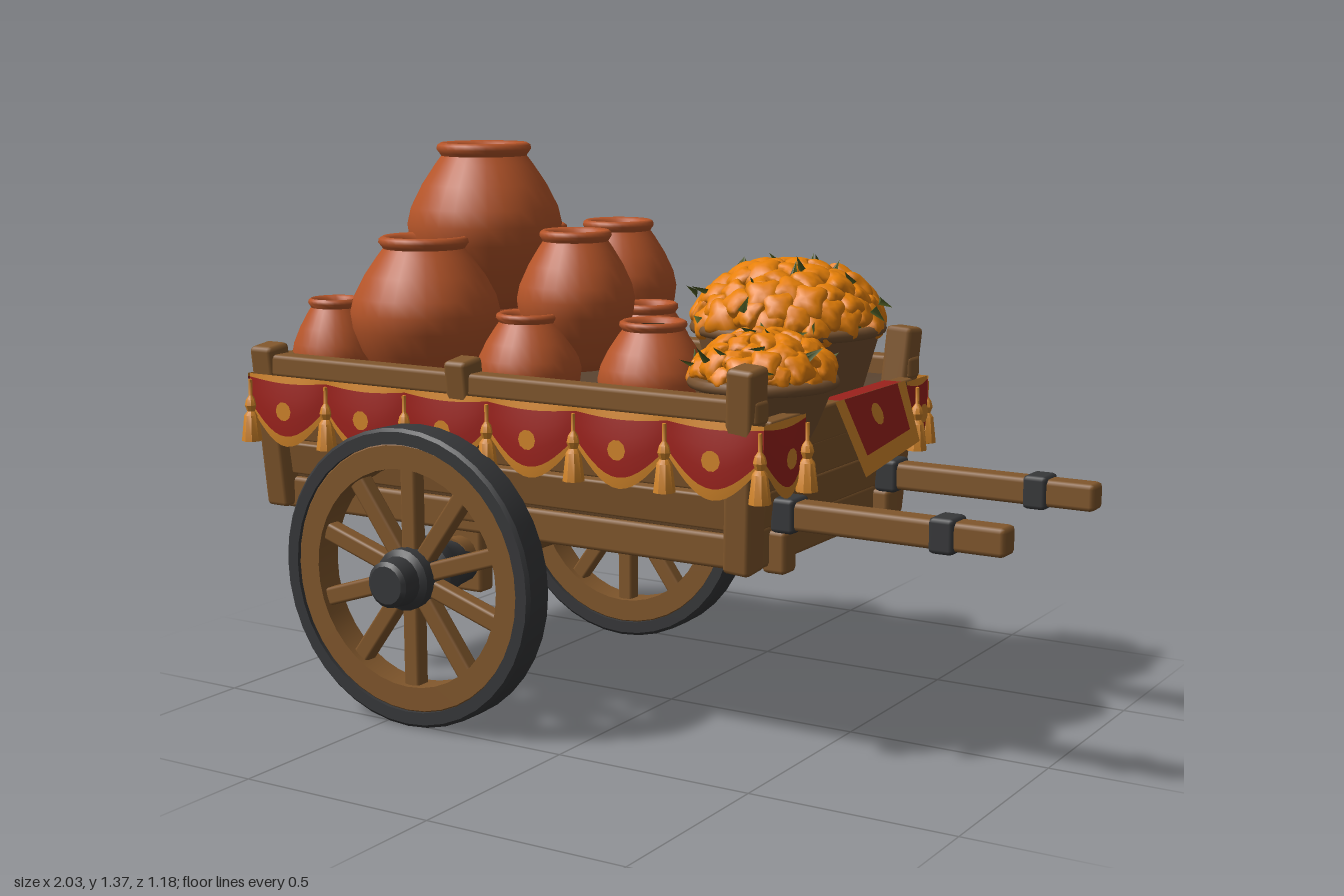
import * as THREE from 'three';
import { mergeGeometries, toCreasedNormals } from 'three/addons/utils/BufferGeometryUtils.js';
import { RoundedBoxGeometry } from 'three/addons/geometries/RoundedBoxGeometry.js';

const paint = (name, color, side = THREE.FrontSide) => {
  const m = new THREE.MeshStandardMaterial({ color, side });
  m.name = name;
  return m;
};
const V2 = (a) => a.map(([x, y]) => new THREE.Vector2(x, y));

export function createModel() {
  const wood = paint('wood', 0x81572c), darkWood = paint('dark wood', 0x5c3f22);
  const iron = paint('iron', 0x37383a), clay = paint('terracotta', 0xb65529);
  const clayDark = paint('pot inside', 0x664529), wicker = paint('wicker', 0x775230);
  const red = paint('red cloth', 0x9c221c, THREE.DoubleSide);
  const gold = paint('gold trim', 0xd2852a, THREE.DoubleSide);
  const marigold = paint('marigold', 0xec8308), leaf = paint('leaf', 0x4d5a22, THREE.DoubleSide);

  const root = new THREE.Group();
  root.name = 'potteryCart';
  const add = (parent, name, geo, mat, x = 0, y = 0, z = 0) => {
    const m = new THREE.Mesh(geo, mat);
    m.name = name;
    m.position.set(x, y, z);
    parent.add(m);
    return m;
  };
  const group = (name, x = 0, y = 0, z = 0, parent = root) => {
    const g = new THREE.Group();
    g.name = name;
    g.position.set(x, y, z);
    parent.add(g);
    return g;
  };
  const box = (name, mat, w, h, d, x, y, z, parent = root) =>
    add(parent, name, new RoundedBoxGeometry(w, h, d, 1, Math.min(w, h, d) * 0.18), mat, x, y, z);
  // Upright timber running between two points
  const post = (name, a, b, w, d) => {
    const p = new THREE.Vector3(...a), q = new THREE.Vector3(...b);
    const m = box(name, wood, w, p.distanceTo(q), d, 0, 0, 0);
    m.position.copy(p).lerp(q, 0.5);
    m.quaternion.setFromUnitVectors(new THREE.Vector3(0, 1, 0), q.sub(p).normalize());
  };
  const lathe = (pts, seg, crease = 0.6) => toCreasedNormals(new THREE.LatheGeometry(V2(pts), seg), crease);

  // Bed: floor planks, end beams and end boards
  for (let i = 0; i < 5; i++) box('floorPlank', darkWood, 1.36, 0.035, 0.136, -0.26, 0.555, (i - 2) * 0.136);
  box('floorSheet', iron, 0.42, 0.012, 0.62, 0.19, 0.615, 0);
  for (const x of [-0.93, 0.4]) box('crossBeam', wood, 0.07, 0.1, 0.66, x, 0.515, 0);
  [0.605, 0.69, 0.77].forEach((y, i) => {
    box('tailBoard', wood, 0.035, 0.086, 0.68 + i * 0.025, -0.935, y, 0);
    box('frontBoard', wood, 0.035, 0.088, 0.68 + i * 0.025, 0.43 + i * 0.012, y, 0).rotation.z = -0.14;
  });
  box('tailRail', wood, 0.05, 0.05, 0.76, -0.94, 0.83, 0);

  // Splayed sides, posts, shafts and axle brackets
  for (const s of [1, -1]) {
    box('sideBeam', wood, 1.4, 0.08, 0.06, -0.27, 0.502, s * 0.325);
    box('sideLining', darkWood, 1.36, 0.28, 0.015, -0.255, 0.68, s * 0.347).rotation.x = s * 0.15;
    [[0.595, 0.348], [0.685, 0.361], [0.77, 0.374]].forEach(([y, z]) => {
      box('sideBoard', wood, 1.36, 0.084, 0.035, -0.255, y, s * z).rotation.x = s * 0.15;
    });
    box('topRail', wood, 1.42, 0.055, 0.06, -0.24, 0.835, s * 0.39);
    post('rearPost', [-0.94, 0.47, s * 0.345], [-0.94, 0.885, s * 0.395], 0.07, 0.075);
    post('middlePost', [-0.335, 0.5, s * 0.35], [-0.335, 0.895, s * 0.4], 0.065, 0.075);
    post('frontPost', [0.405, 0.465, s * 0.36], [0.435, 0.935, s * 0.4], 0.07, 0.08);
    box('shaft', wood, 0.8, 0.065, 0.065, 0.6, 0.588, s * 0.265);
    for (const x of [0.47, 0.855]) box('shaftBand', iron, 0.06, 0.08, 0.08, x, 0.588, s * 0.265);
    box('shaftBracket', wood, 0.06, 0.1, 0.06, 0.445, 0.5, s * 0.265);
    box('axleBracket', wood, 0.12, 0.24, 0.055, -0.43, 0.415, s * 0.265);
  }

  // Axle and wheels
  add(root, 'axle', new THREE.CylinderGeometry(0.05, 0.05, 0.66, 14), wood, -0.43, 0.385, 0).rotation.x = Math.PI / 2;
  const ring = (ro, ri, h, b) => lathe([[ro - b, -h], [ro, b - h], [ro, h - b], [ro - b, h], [ri, h], [ri, -h], [ro - b, -h]], 40);
  for (const s of [1, -1]) {
    const w = group('wheel', -0.43, 0.372, 0);
    w.rotation.x = s * Math.PI / 2;
    add(w, 'tyre', ring(0.364, 0.326, 0.043, 0.008), iron, 0, 0.478, 0);
    add(w, 'rim', ring(0.327, 0.266, 0.036, 0.004), wood, 0, 0.478, 0);
    for (let i = 0; i < 10; i++) {
      const a = Math.PI / 2 + i * Math.PI / 5;
      const m = box('spoke', wood, 0.23, 0.042, 0.044, Math.cos(a) * 0.18, 0.478, Math.sin(a) * 0.18, w);
      m.rotation.y = -a;
    }
    add(w, 'hub', lathe([[0.053, 0.285], [0.058, 0.34], [0.068, 0.385], [0.088, 0.42], [0.088, 0.45], [0.075, 0.46],
      [0.075, 0.525], [0.06, 0.535], [0.056, 0.58], [0.046, 0.588], [0, 0.588]], 18), iron);
  }

  // Cloth strip between two fractions of its drop, with a scalloped lower edge
  const strip = (w, drop, sag, v0, v1, bulge) => {
    const g = new THREE.PlaneGeometry(1, 1, 14, 3), p = g.attributes.position;
    for (let i = 0; i < p.count; i++) {
      const u = p.getX(i), v = v0 + (0.5 - p.getY(i)) * (v1 - v0), c = Math.cos(u * Math.PI);
      p.setXYZ(i, u * w, -v * (drop + sag * c), bulge * c * Math.sin(v * 2.4));
    }
    g.computeVertexNormals();
    return g;
  };
  const swag = (parent, w, x) => {
    const g = group('swag', x, 0, 0, parent);
    add(g, 'swagTopTrim', strip(w, 0.085, 0.09, 0, 0.1, 0.014), gold);
    add(g, 'swagCloth', strip(w, 0.085, 0.09, 0.1, 0.85, 0.014), red);
    add(g, 'swagHem', strip(w, 0.085, 0.09, 0.85, 1, 0.014), gold);
    add(g, 'swagMedallion', new THREE.CircleGeometry(0.024, 10), gold, 0, -0.085, 0.019);
  };
  const tasselGeo = lathe([[0, -0.16], [0.026, -0.155], [0.018, -0.09], [0.01, -0.08], [0.016, -0.065],
    [0.012, -0.05], [0.005, -0.04], [0.005, 0], [0, 0.002]], 9);
  const tassel = (parent, x) => add(parent, 'tassel', tasselGeo, gold, x, -0.015, 0.006);

  // Side garlands, then short corner garlands on both ends
  for (const s of [1, -1]) {
    const side = group('sideGarland', -0.245, 0.812, s * 0.424);
    if (s < 0) side.rotation.y = Math.PI;
    for (let i = 0; i < 6; i++) swag(side, 0.245, (i - 2.5) * 0.245);
    for (let i = 0; i < 7; i++) tassel(side, (i - 3) * 0.243);
    for (const [x, dir, w] of [[0.488, 1, s < 0 ? 0.12 : 0.2], [-0.985, -1, 0.22]]) {
      const end = group('endGarland', x, 0.812, s * (0.425 - w / 2));
      end.rotation.y = dir * Math.PI / 2;
      swag(end, w, 0);
      tassel(end, dir * s * w * 0.35).position.z = 0.02;
    }
  }

  // Front drape with gold border and medallion
  const drape = group('frontDrape', 0.485, 0.815, -0.1);
  drape.rotation.y = Math.PI / 2;
  const hang = group('drapePanel', 0, 0, 0, drape);
  hang.rotation.x = -0.38;
  const sheet = (pts) => new THREE.ShapeGeometry(new THREE.Shape(V2(pts)));
  add(hang, 'drapeBorder', sheet([[-0.15, -0.186], [0.17, -0.15], [0.2, 0], [-0.175, 0]]), gold);
  for (const k of [1, -1])
    add(hang, 'drapeCloth', sheet([[-0.115, -0.14], [0.135, -0.115], [0.15, 0], [-0.135, 0]]), red, 0, 0, k * 0.003);
  add(hang, 'drapeMedallion', new THREE.CircleGeometry(0.027, 12), gold, -0.005, -0.055, 0.006);
  add(drape, 'drapeFold', new THREE.PlaneGeometry(0.33, 0.045), red, 0.01, 0.001, -0.022).rotation.x = -Math.PI / 2;

  // Pots: x, z, base, top, radius
  const pots = [
    [-0.86, -0.25, 0.7, 0.99, 0.112], [-0.86, 0, 0.7, 0.98, 0.105], [-0.86, 0.23, 0.7, 0.99, 0.112],
    [-0.58, -0.22, 0.79, 1.16, 0.175], [-0.58, 0.22, 0.78, 1.16, 0.185], [-0.555, 0, 0.965, 1.38, 0.196],
    [-0.3, -0.23, 0.84, 1.18, 0.15], [-0.225, 0.08, 0.84, 1.18, 0.145], [-0.13, -0.1, 0.68, 0.99, 0.125],
    [-0.27, 0.22, 0.71, 0.99, 0.128], [0.065, 0.19, 0.71, 0.99, 0.132]];
  const body = [[0, 0], [0.48, 0], [0.62, 0.08], [0.85, 0.25], [0.97, 0.4], [1, 0.51], [0.95, 0.61], [0.8, 0.75],
    [0.63, 0.87], [0.55, 0.92], [0.57, 0.935], [0.61, 0.96], [0.6, 0.985], [0.55, 1], [0.45, 0.985], [0.42, 0.95]];
  const inside = [[0.42, 0.95], [0.43, 0.9], [0.62, 0.8], [0.78, 0.6], [0.5, 0.3], [0, 0.25]];
  for (const [x, z, y0, y1, r] of pots) {
    const g = group('pot', x, y0, z);
    const fit = (pts) => lathe(pts.map(([a, b]) => [a * r, b * (y1 - y0)]), 28, 1);
    add(g, 'potBody', fit(body), clay);
    add(g, 'potInside', fit(inside), clayDark);
  }

  // Baskets heaped with marigolds
  let seed = 7;
  const rnd = () => (seed = (seed * 16807) % 2147483647) / 2147483647;
  const up = new THREE.Vector3(0, 1, 0);
  const basket = (x, z, rim, r, depth, h, n, size) => {
    const g = group('flowerBasket', x, rim, z);
    add(g, 'basketBody', lathe([[0, -depth], [r * 0.62, -depth], [r * 0.77, -depth * 0.5], [r * 0.94, -0.02],
      [r * 0.9, 0], [0, 0]], 28), wicker);
    const lip = add(g, 'basketRim', new THREE.TorusGeometry(r * 0.95, 0.015, 8, 32), wicker, 0, -0.008, 0);
    lip.rotation.x = Math.PI / 2;
    add(g, 'foliageMound', new THREE.SphereGeometry(1, 20, 8, 0, Math.PI * 2, 0, Math.PI / 2), leaf)
      .scale.set(r * 0.84, h * 0.72, r * 0.84);
    const blooms = [], leaves = [];
    for (let i = 0; i < n; i++) {
      // Golden-angle spread over a flattened dome
      const c = 1 - (i + 0.5) / n, q = Math.sqrt(1 - c * c), a = i * 2.39996;
      const place = new THREE.Vector3(Math.cos(a) * q * r * 0.88, c * h * 0.8 + 0.01, Math.sin(a) * q * r * 0.88);
      const dir = new THREE.Vector3(Math.cos(a) * q + rnd() - 0.5, c + 0.4, Math.sin(a) * q + rnd() - 0.5).normalize();
      const turn = new THREE.Quaternion().setFromUnitVectors(up, dir);
      const f = new THREE.IcosahedronGeometry(size * (0.8 + rnd() * 0.45), 3), p = f.attributes.position;
      for (let k = 0; k < p.count; k++) {
        const t = Math.atan2(p.getZ(k), p.getX(k)), b = 1 + 0.16 * Math.sin(t * 4 + i);
        p.setXYZ(k, p.getX(k) * b, p.getY(k) * 0.62, p.getZ(k) * b);
      }
      blooms.push(toCreasedNormals(f, 1.2).applyQuaternion(turn).translate(place.x, place.y, place.z));
      if (i % 2) {
        const l = new THREE.ConeGeometry(0.013, 0.042, 3).scale(1, 1, 0.35).translate(0, 0.02, 0);
        l.rotateX((rnd() - 0.5) * 2.4).rotateZ((rnd() - 0.5) * 2.4).applyQuaternion(turn);
        const o = rnd() * 6.28;
        leaves.push(l.translate(place.x + Math.cos(o) * size * 0.8, place.y + 0.01, place.z + Math.sin(o) * size * 0.8));
      }
    }
    add(g, 'marigolds', mergeGeometries(blooms), marigold);
    add(g, 'leaves', mergeGeometries(leaves), leaf);
  };
  basket(0.21, -0.205, 0.95, 0.24, 0.33, 0.155, 72, 0.04);
  basket(0.345, 0.165, 0.875, 0.17, 0.2, 0.1, 44, 0.034);

  return root;
}
